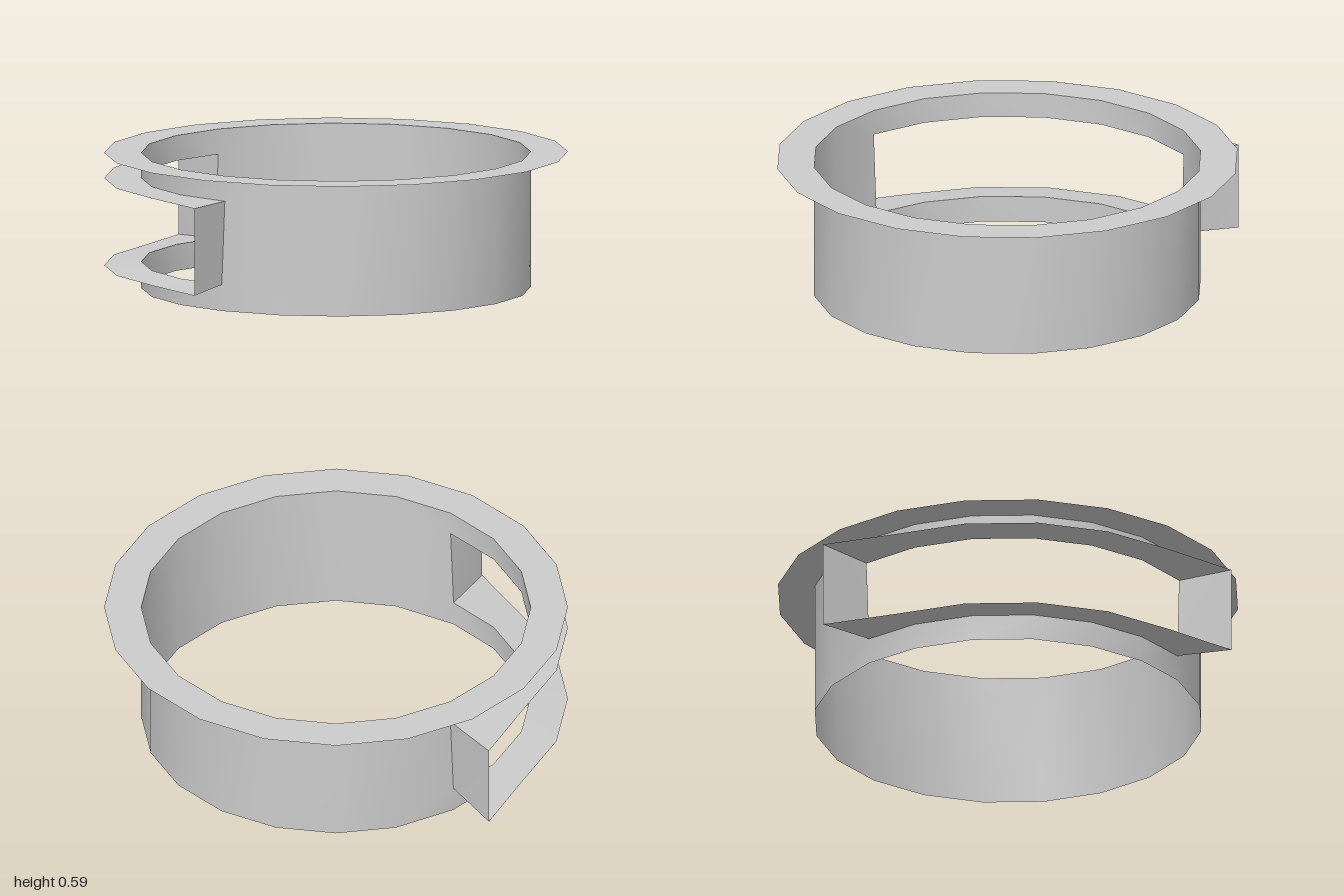
import * as THREE from 'three';

const SIDES = 20, R_WALL = 0.84, HEIGHT = 0.59;
const WIN_LOW = 0.115, WIN_HIGH = 0.48, SHELF_LOW = 0.1;
const HALF = 3; // window reaches three facets either side of -x

const material = new THREE.MeshStandardMaterial({ color: 0xcccccc, side: THREE.DoubleSide });

// Point on a ring; step 0 lies on -x, positive steps turn towards +z
function ringPoint(step, radius, y) {
  const a = (step * 2 * Math.PI) / SIDES;
  return [-Math.cos(a) * radius, y, Math.sin(a) * radius];
}

// Wall point; the lower window corners sit slightly inwards
function wallPoint(step, y) {
  const shift = Math.abs(step) === HALF && y < 0.2 ? 0.06 * Math.sign(step) : 0;
  return ringPoint(step - shift, R_WALL, y);
}

// Skin between rows of points, leaving out the quads chosen by skip
function skin(name, rows, closed = false, skip = () => false) {
  const n = rows[0].length, pos = rows.flat(2), index = [];
  for (let r = 0; r < rows.length - 1; r++) {
    for (let i = 0; i < (closed ? n : n - 1); i++) {
      if (skip(r, i)) continue;
      const j = (i + 1) % n;
      const a = r * n + i, b = r * n + j, c = a + n, d = b + n;
      index.push(a, b, d, a, d, c);
    }
  }
  const geo = new THREE.BufferGeometry();
  geo.setAttribute('position', new THREE.Float32BufferAttribute(pos, 3));
  geo.setIndex(index);
  geo.computeVertexNormals();
  const mesh = new THREE.Mesh(geo, material);
  mesh.name = name;
  return mesh;
}

export function createModel() {
  const group = new THREE.Group();
  group.name = 'windowedCollar';
  const steps = Array.from({ length: SIDES }, (_, i) => i - HALF);

  // Thin round wall with a window cut in the -x side
  const levels = [0, WIN_LOW, WIN_HIGH, HEIGHT];
  group.add(skin('wall', levels.map(y => steps.map(s => wallPoint(s, y))),
    true, (r, i) => r === 1 && i < 2 * HALF));

  // Flat flange around the top rim
  group.add(skin('topFlange', [
    steps.map(s => ringPoint(s, R_WALL, HEIGHT)),
    steps.map(s => ringPoint(s, 1, HEIGHT)),
  ], true));

  // Window frame: outer edge ends in two projecting corners
  const arc = steps.slice(0, 2 * HALF + 1);
  const outerPoint = (s, y) => {
    if (s === -HALF) return [-0.66, y, -0.89];
    if (s === HALF) return [-0.63, y, 0.89];
    return ringPoint(s, 1, y);
  };

  // Shelves below and above the window
  group.add(skin('lowerShelf', [
    arc.map(s => outerPoint(s, SHELF_LOW)), arc.map(s => wallPoint(s, WIN_LOW))]));
  group.add(skin('upperShelf', [
    arc.map(s => wallPoint(s, WIN_HIGH)), arc.map(s => outerPoint(s, WIN_HIGH))]));

  // Upright cheeks closing both ends
  for (const s of [-HALF, HALF]) {
    group.add(skin(s < 0 ? 'backCheek' : 'frontCheek', [
      [wallPoint(s, WIN_LOW), outerPoint(s, SHELF_LOW)],
      [wallPoint(s, WIN_HIGH), outerPoint(s, WIN_HIGH)]]));
  }
  return group;
}
